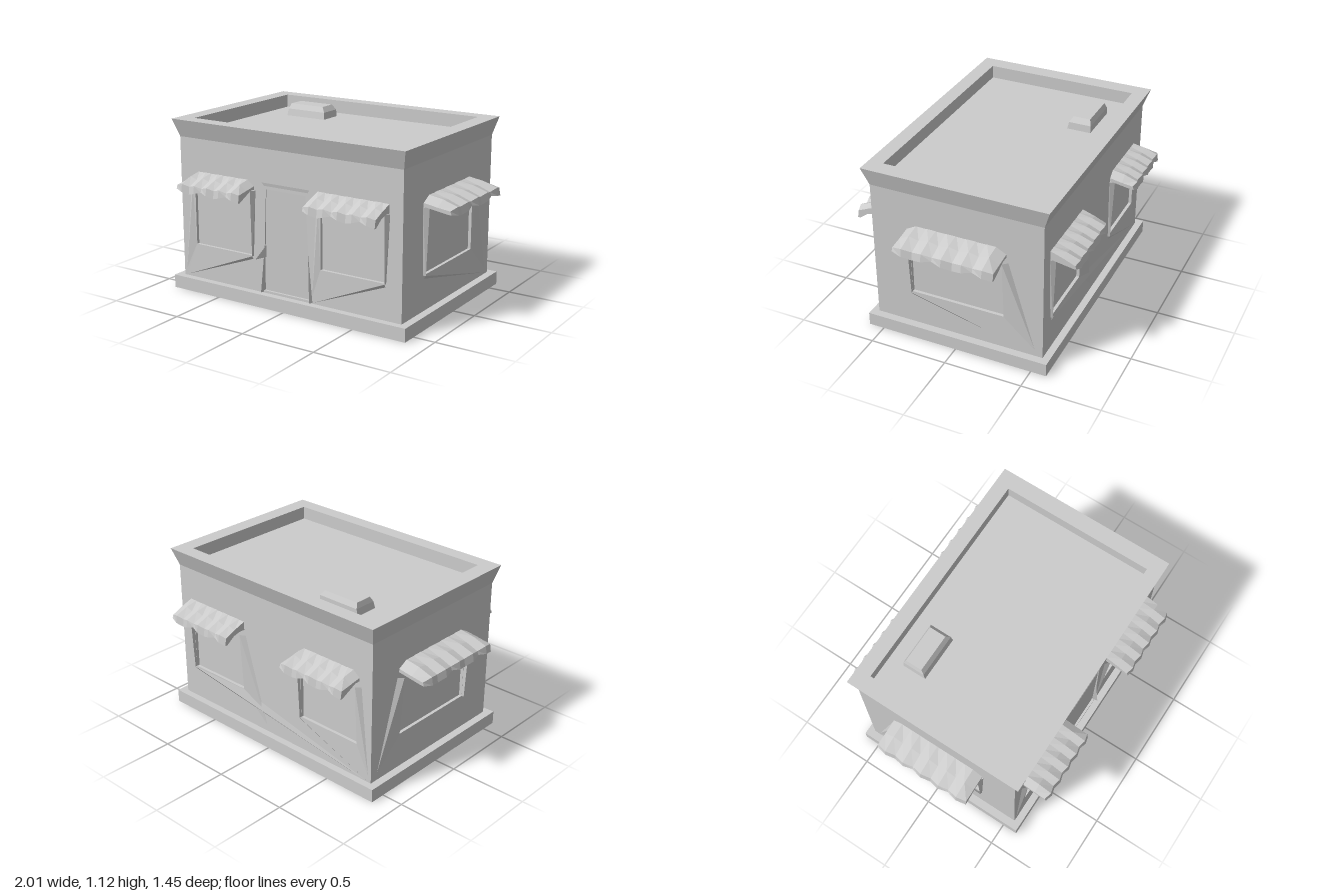
import * as THREE from 'three';

const grey = new THREE.MeshStandardMaterial({ color: 0xcccccc, side: THREE.DoubleSide });
grey.name = 'plaster grey';

const HX = 0.81, HZ = 0.555, BASE = 0.085, EAVE = 1.0, RECESS = 0.02;
const SILL = 0.31, HEAD = 0.7;

function add(parent, name, geometry) {
  const mesh = new THREE.Mesh(geometry, grey);
  mesh.name = name;
  parent.add(mesh);
  return mesh;
}

// Flat-shaded geometry from polygons, each a list of corner points
function faceted(polygons) {
  const pos = [];
  for (const p of polygons)
    for (let i = 1; i < p.length - 1; i++) pos.push(...p[0], ...p[i], ...p[i + 1]);
  const g = new THREE.BufferGeometry();
  g.setAttribute('position', new THREE.Float32BufferAttribute(pos, 3));
  g.computeVertexNormals();
  return g;
}

// Joins equal loops of points into a surface, with optional end caps
function loft(loops, capStart, capEnd) {
  const polys = [];
  for (let i = 0; i < loops.length - 1; i++) {
    const a = loops[i], b = loops[i + 1], n = a.length;
    for (let j = 0; j < n; j++) {
      const k = (j + 1) % n;
      polys.push([a[j], a[k], b[k], b[j]]);
    }
  }
  if (capStart) polys.push([...loops[0]].reverse());
  if (capEnd) polys.push(loops[loops.length - 1]);
  return faceted(polys);
}

const rect = (x0, x1, y, z0, z1) => [[x0, y, z1], [x1, y, z1], [x1, y, z0], [x0, y, z0]];

// Wall plate with openings; its outer face lies on local z = 0
function wallPlate(half, openings) {
  const path = (pts, P) => new P(pts.map(([x, y]) => new THREE.Vector2(x, y)));
  const shape = path([[-half, BASE], [half, BASE], [half, EAVE], [-half, EAVE]], THREE.Shape);
  for (const o of openings) shape.holes.push(path(o, THREE.Path));
  return new THREE.ExtrudeGeometry(shape, { depth: RECESS, bevelEnabled: false }).translate(0, 0, -RECESS);
}

// Sloping canopy with a wavy front edge and a short hanging hem
function awning(half, dropEnds) {
  const n = 10, loops = [];
  for (let i = 0; i <= n; i++) {
    const x = -half + (2 * half * i) / n;
    const wave = i % 2 ? 0.008 : -0.006;
    const end = i === 0 || i === n;
    const drop = end && dropEnds ? 0.035 : 0;
    const out = 0.157 + wave * 0.9;
    const hem = 0.694 + (i % 4 === 2 ? -0.012 : i % 2 ? 0.002 : 0.015);
    loops.push([
      [x, 0.793 - drop, -0.01], [x, 0.768 - drop * 0.6 + wave, 0.08], [x, 0.737 + wave, out],
      [x, hem, out + 0.008], [x, hem, out - 0.008], [x, 0.718 + wave, out - 0.02],
      [x, 0.735, 0.04], [x, 0.735, -0.01],
    ]);
  }
  return loft(loops, true, true);
}

// Window with awning; d is the side its folded plaster runs to, ending at foot
function windowBay(wall, c, w, awningHalf, d, foot, dropEnds = true) {
  const bay = new THREE.Group();
  bay.name = 'windowBay';
  const a = c - d * w, b = c + d * w;
  const reach = Math.min(0.2, Math.abs(foot - b));
  add(bay, 'plasterFold', faceted([
    [[a, SILL, 0.014], [foot, 0.09, 0.002], [b, SILL, 0.003]],
    [[a, SILL, 0.014], [a, SILL - 0.02, 0], [foot, 0.09, 0.002]],
    [[b, SILL, 0.003], [b + d * reach, 0.13, 0.002], [b, HEAD, 0.024]],
    [[b, HEAD, 0.024], [b + d * reach, 0.13, 0.002], [b + d * 0.03, HEAD, 0]],
  ]));
  // Tapered side trim
  add(bay, 'windowTrim', loft([
    [[a, SILL, -0.015], [a, SILL, 0.014], [a - d * 0.004, SILL, 0]],
    [[a, HEAD + 0.03, -0.015], [a - d * 0.005, HEAD + 0.03, 0.03], [a - d * 0.025, HEAD + 0.03, 0]],
  ], true, true));
  add(bay, 'awning', awning(awningHalf, dropEnds)).position.x = c;
  wall.add(bay);
}

const opening = (c, w) => [[c - w, SILL], [c - w, HEAD], [c + w, HEAD], [c + w, SILL]];

function makeWall(parent, name, half, offset, turn, openings) {
  const wall = new THREE.Group();
  wall.name = name;
  wall.rotation.y = turn;
  wall.position.set(Math.sin(turn) * offset, 0, Math.cos(turn) * offset);
  add(wall, 'wallPlate', wallPlate(half, openings));
  parent.add(wall);
  return wall;
}

export function createModel() {
  const model = new THREE.Group();
  model.name = 'shopBuilding';

  // Plinth and core; the core shows as the recessed panes and door
  add(model, 'plinth', new THREE.BoxGeometry(1.72, BASE, 1.2).translate(0, BASE / 2, 0));
  add(model, 'core', new THREE.BoxGeometry(2 * (HX - RECESS), EAVE - BASE, 2 * (HZ - RECESS))
    .translate(0, (EAVE + BASE) / 2, 0));

  // Flared cornice, rim, parapet and roof
  const rings = [[HX, EAVE, HZ], [0.84, 1.115, 0.595], [0.735, 1.115, 0.5], [0.735, 1.03, 0.5]];
  add(model, 'corniceAndRoof', loft(rings.map(([x, y, z]) => rect(-x, x, y, -z, z)), false, true));

  // Roof vent with sloping sides
  add(model, 'roofVent', loft([
    rect(-0.555, -0.26, 1.03, -0.4, -0.245),
    rect(-0.55, -0.265, 1.075, -0.4, -0.255),
    rect(-0.54, -0.29, 1.108, -0.385, -0.275),
  ], false, true));

  // Front wall with door and two windows
  const doorway = [[-0.175, 0.1], [-0.145, 0.75], [0.145, 0.75], [0.175, 0.1]];
  const front = makeWall(model, 'frontWall', HX, HZ, 0,
    [opening(-0.475, 0.225), opening(0.475, 0.225), doorway]);
  windowBay(front, -0.475, 0.225, 0.24, -1, -0.79);
  windowBay(front, 0.475, 0.225, 0.245, -1, 0.19, false);

  // Door panel slopes back from the head; low fins flank the foot
  add(front, 'doorPanel', faceted([
    [[-0.175, 0.1, -0.015], [0.175, 0.1, -0.015], [0.145, 0.75, -0.004], [-0.145, 0.75, -0.004]],
    [[-0.145, 0.75, -0.004], [0.145, 0.75, -0.004], [0.175, 0.79, 0.004], [-0.175, 0.79, 0.004]],
  ]));
  for (const s of [-1, 1]) {
    add(front, 'doorFin', faceted([
      [[s * 0.17, 0.09, -0.015], [s * 0.18, 0.09, 0.022], [s * 0.16, 0.4, 0]],
      [[s * 0.19, 0.09, 0], [s * 0.18, 0.09, 0.022], [s * 0.16, 0.4, 0]],
    ]));
  }
  add(front, 'doorHandle', faceted([
    [[-0.15, 0.32, 0], [-0.185, 0.315, 0.065], [-0.15, 0.395, 0]],
    [[-0.185, 0.32, 0], [-0.185, 0.315, 0.065], [-0.15, 0.395, 0]],
    [[-0.15, 0.32, 0], [-0.185, 0.315, 0.065], [-0.185, 0.32, 0]],
  ]));

  // Back wall with two windows
  const back = makeWall(model, 'backWall', HX, HZ, Math.PI,
    [opening(-0.475, 0.225), opening(0.475, 0.225)]);
  windowBay(back, -0.475, 0.225, 0.245, 1, 0.79, false);
  windowBay(back, 0.475, 0.225, 0.24, 1, 0.79);

  // Side walls with one wide window each
  for (const s of [1, -1]) {
    const side = makeWall(model, s > 0 ? 'leftWall' : 'rightWall', HZ, HX, s * Math.PI / 2, [opening(0, 0.305)]);
    const bayGroup = new THREE.Group();
    bayGroup.name = 'wideWindow';
    bayGroup.scale.z = 1.14;
    side.add(bayGroup);
    windowBay(bayGroup, 0, 0.305, 0.322, s, s * 0.535);
  }
  return model;
}
